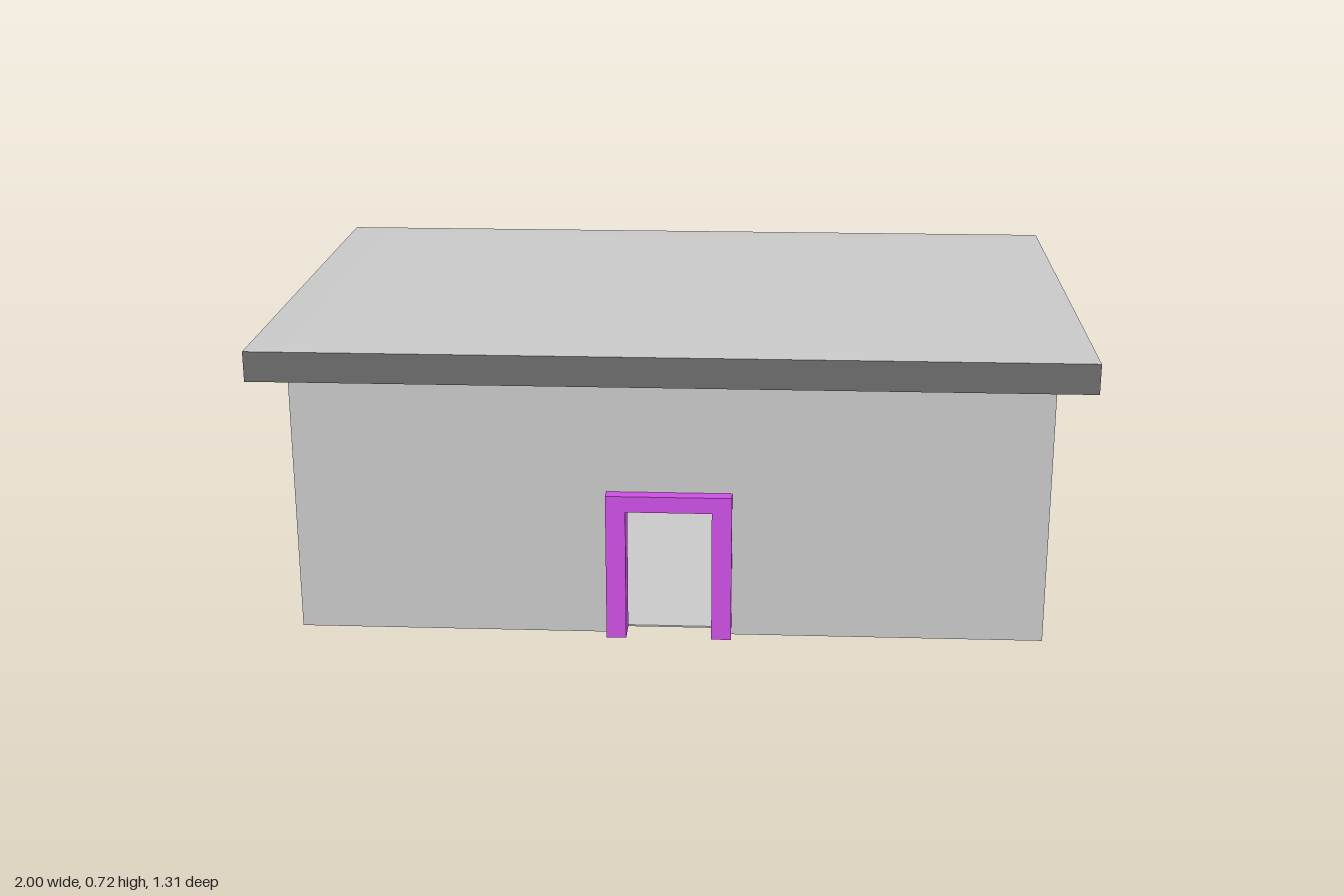
import * as THREE from 'three';

const grey = new THREE.MeshStandardMaterial({ color: 0xcccccc, flatShading: true });
const dark = new THREE.MeshStandardMaterial({ color: 0x6e6e6e, flatShading: true });
const purple = new THREE.MeshStandardMaterial({ color: 0xd050e8, flatShading: true });

function box(name, mat, w, h, d, x, y, z) {
  const mesh = new THREE.Mesh(new THREE.BoxGeometry(w, h, d), mat);
  mesh.position.set(x, y + h / 2, z); // y is the underside
  mesh.name = name;
  return mesh;
}

// Upright outline with a doorway cut from the ground, extruded towards +z
function archway(name, mat, halfW, h, gapHalf, gapH, z, depth) {
  const shape = new THREE.Shape([
    [-halfW, 0], [-gapHalf, 0], [-gapHalf, gapH], [gapHalf, gapH],
    [gapHalf, 0], [halfW, 0], [halfW, h], [-halfW, h],
  ].map(([x, y]) => new THREE.Vector2(x, y)));
  const mesh = new THREE.Mesh(
    new THREE.ExtrudeGeometry(shape, { depth, bevelEnabled: false }), mat);
  mesh.position.z = z;
  mesh.name = name;
  return mesh;
}

export function createModel() {
  const model = new THREE.Group();
  model.name = 'building';
  const X = 0.91, Z = 0.6, H = 0.648, T = 0.035;

  // Hollow body: front wall with a doorway, plain back and side walls, floor
  const body = new THREE.Group();
  body.name = 'body';
  body.add(archway('frontWall', grey, X, H, 0.125, 0.35, Z - T, T));
  body.add(box('backWall', grey, 2 * X, H, T, 0, 0, -Z + T / 2));
  for (const [name, s] of [['leftWall', 1], ['rightWall', -1]]) {
    body.add(box(name, grey, T, H, 2 * (Z - T), s * (X - T / 2), 0, 0));
  }
  body.add(box('floor', grey, 2 * (X - T), 0.004, 2 * (Z - T), 0, 0, 0));
  model.add(body);

  // Door frame running through the wall and standing proud of it
  model.add(archway('doorFrame', purple, 0.152, 0.368, 0.104, 0.328, Z - T, T + 0.034));

  // Overhanging roof slab with a dark edge and a barely raised pale top
  const roof = new THREE.Group();
  roof.name = 'roof';
  const slab = box('roofSlab', grey, 2, 0.074, 1.31, 0, H, 0);
  slab.material = [dark, dark, grey, grey, dark, dark];
  roof.add(slab);
  const top = box('roofTop', grey, 2, 0.002, 1.31, 0, H + 0.074, 0);
  const p = top.geometry.attributes.position;
  for (let i = 0; i < p.count; i++) {
    if (p.getY(i) > 0) p.setXYZ(i, p.getX(i) * 0.91, p.getY(i), p.getZ(i) * 0.916);
  }
  roof.add(top);
  model.add(roof);

  return model;
}
